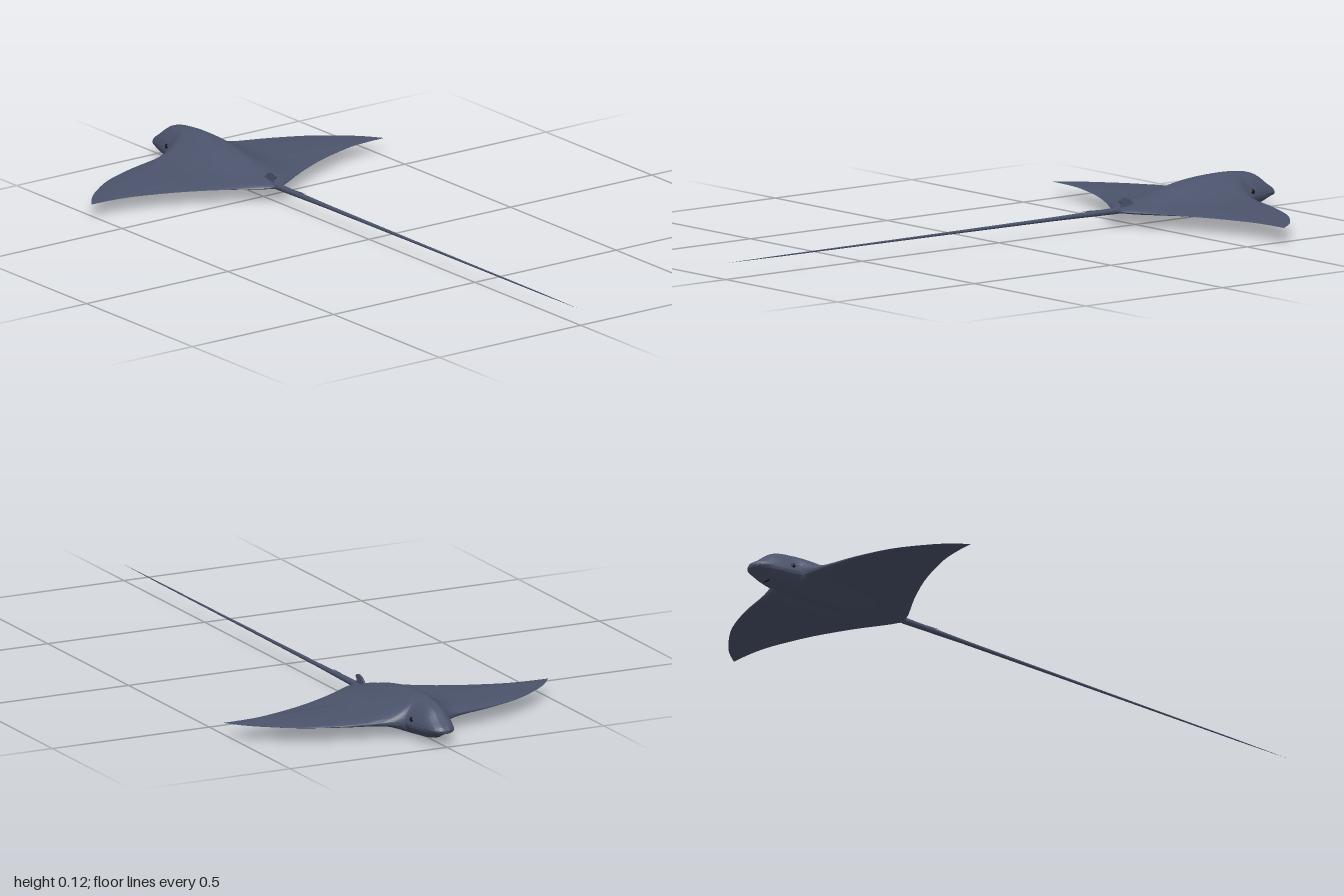
import * as THREE from 'three';
import { toCreasedNormals } from 'three/addons/utils/BufferGeometryUtils.js';

const MID = 0.047; // height of the wing plane

// Linear lookup in a list of [position, value] pairs
function lookup(table, p) {
  for (let i = 1; i < table.length; i++) {
    const [a, va] = table[i - 1], [b, vb] = table[i];
    if (p <= b) return va + (vb - va) * Math.max(0, (p - a) / (b - a));
  }
  return table[table.length - 1][1];
}

const smoothProfile = pts => new THREE.SplineCurve(pts.map(p => new THREE.Vector2(...p)))
  .getPoints(60).map(p => [p.x, p.y]);

// Half outline as (half width, z): head, leading edge, trailing edge
const outline = [
  [[0, -1], [0.02, -0.993], [0.033, -0.98], [0.042, -0.955], [0.053, -0.91], [0.063, -0.86]],
  [[0.063, -0.86], [0.137, -0.838], [0.245, -0.812], [0.35, -0.77], [0.43, -0.715], [0.48, -0.67], [0.518, -0.62]],
  [[0.518, -0.62], [0.47, -0.619], [0.41, -0.613], [0.35, -0.598], [0.245, -0.56], [0.137, -0.505], [0.05, -0.452], [0.018, -0.436], [0, -0.43]],
].flatMap((pts, i) => new THREE.SplineCurve(pts.map(p => new THREE.Vector2(...p)))
  .getPoints(24).slice(i ? 1 : 0));

// Body height above and depth below the wing plane along z
const back = smoothProfile([[-1, 0.008], [-0.97, 0.028], [-0.93, 0.057], [-0.88, 0.07], [-0.8, 0.073],
  [-0.7, 0.067], [-0.6, 0.048], [-0.5, 0.02], [-0.43, 0.004]]);
const belly = smoothProfile([[-1, 0.005], [-0.97, 0.013], [-0.93, 0.031], [-0.88, 0.04], [-0.8, 0.044],
  [-0.7, 0.04], [-0.6, 0.028], [-0.5, 0.011], [-0.43, 0.003]]);

// Disc and head: rings across the body, swept from nose to tail root
function bodyGeometry() {
  const N = 96, pos = [], idx = [];
  for (const { x: w, y: z } of outline) {
    const rear = THREE.MathUtils.smoothstep(z, -0.75, -0.55);
    const wingIn = THREE.MathUtils.smoothstep(z, -0.9, -0.8);
    for (let j = 0; j < N; j++) {
      const a = (j / N) * Math.PI * 2, c = Math.cos(a);
      const s = Math.abs(c) < 1e-6 ? 0 : Math.sign(c) * Math.abs(c) ** 1.5;
      const x = s * w, up = Math.sin(a) >= 0;
      const edge = Math.max(0, 1 - Math.abs(s) ** 3) ** (0.5 + 0.4 * rear);
      const bell = Math.exp(-((x / 0.072) ** 2));
      const wing = (up ? 0.019 : 0.014) * Math.max(0, 1 - Math.abs(x) / 0.52) * wingIn
        * (1 - bell) * (1 - 0.3 * rear);
      const h = (lookup(up ? back : belly, z) * bell + wing) * edge;
      pos.push(x, MID + (up ? h : -h), z);
    }
  }
  for (let i = 0; i < outline.length - 1; i++) for (let j = 0; j < N; j++) {
    const k = (j + 1) % N, a = i * N + j, b = i * N + k;
    idx.push(a, a + N, b, b, a + N, b + N);
  }
  const g = new THREE.BufferGeometry();
  g.setAttribute('position', new THREE.Float32BufferAttribute(pos, 3));
  g.setIndex(idx);
  // Wind the faces outward
  const v = i => new THREE.Vector3().fromArray(pos, i * 3);
  const mid = 30 * N + N / 4;
  const n = v(mid + N).sub(v(mid)).cross(v(mid + 1).sub(v(mid)));
  if (n.y < 0) for (let i = 0; i < idx.length; i += 3) [idx[i], idx[i + 1]] = [idx[i + 1], idx[i]];
  g.setIndex(idx);
  return toCreasedNormals(g, 0.9);
}

// Thin upright plate from a (z, y) outline
function plate(pts, depth) {
  const shape = new THREE.Shape();
  shape.setFromPoints(new THREE.SplineCurve([...pts, pts[0]].map(p => new THREE.Vector2(-p[0], p[1]))).getPoints(30));
  const g = new THREE.ExtrudeGeometry(shape, { depth, bevelEnabled: false });
  return g.translate(0, 0, -depth / 2).rotateY(Math.PI / 2);
}

export function createModel() {
  const skin = new THREE.MeshStandardMaterial({ color: 0x4b536b });
  skin.name = 'slateSkin';
  const dark = new THREE.MeshStandardMaterial({ color: 0x14161c });
  dark.name = 'darkEye';
  const model = new THREE.Group();
  model.name = 'ray';
  const add = (name, geometry, material, parent = model) => {
    const m = new THREE.Mesh(geometry, material);
    m.name = name;
    parent.add(m);
    return m;
  };

  add('body', bodyGeometry(), skin);

  // Whip tail
  const tail = [[0, -0.5], [0.008, -0.49], [0.0095, -0.43], [0.008, -0.33], [0.006, -0.2], [0.0045, 0.1],
    [0.003, 0.45], [0.0018, 0.8], [0, 1]].map(p => new THREE.Vector2(...p));
  add('tail', new THREE.LatheGeometry(tail, 12).rotateX(Math.PI / 2), skin).position.y = 0.05;

  // Small fin at the tail root
  add('dorsalFin', plate([[-0.5, 0.058], [-0.475, 0.079], [-0.452, 0.084], [-0.44, 0.077], [-0.447, 0.066], [-0.435, 0.052]], 0.006), skin);

  // Tail spines lying back along the tail
  [[-0.34, 0.058, 0.09], [-0.33, 0.055, 0.07]].forEach(([z, y, len], i) => {
    const g = new THREE.ConeGeometry(0.004, len, 8).rotateX(Math.PI / 2 - 0.09);
    add('tailSpine' + (i + 1), g, skin).position.set(0, y, z);
  });

  // Eyes on the sides of the head
  for (const side of [1, -1]) {
    const eye = add(side > 0 ? 'leftEye' : 'rightEye', new THREE.SphereGeometry(0.008, 16, 10), dark);
    eye.position.set(side * 0.053, 0.063, -0.885);
    eye.scale.set(0.6, 1, 1.1);
  }

  // Mouth slit under the snout
  const lip = new THREE.CatmullRomCurve3([-1, -0.5, 0, 0.5, 1].map(t =>
    new THREE.Vector3(t * 0.024, 0.02 + 0.009 * t * t, -0.938 + 0.006 * t * t)));
  add('mouth', new THREE.TubeGeometry(lip, 16, 0.003, 6), dark);
  return model;
}
